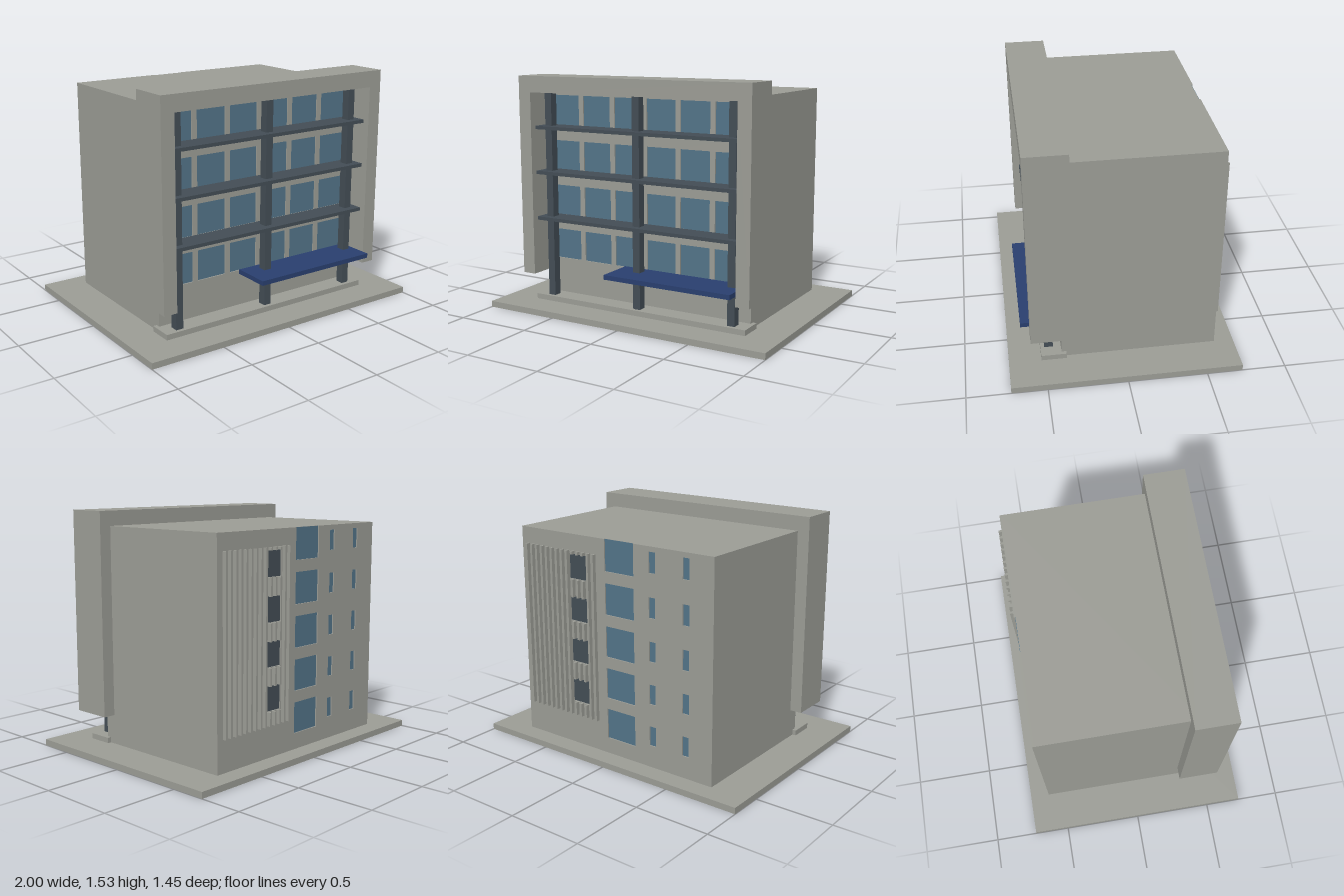
import * as THREE from 'three';

const material = (name, color) => {
  const m = new THREE.MeshStandardMaterial({ color });
  m.name = name;
  return m;
};

export function createModel() {
  const model = new THREE.Group();
  model.name = 'officeBuilding';
  const concrete = material('concrete grey', 0x9b9c95);
  const glass = material('window blue', 0x527388);
  const slate = material('dark slate', 0x434d55);
  const navy = material('canopy navy', 0x293f6f);

  const add = (name, geometry, mat) => {
    const mesh = new THREE.Mesh(geometry, mat);
    mesh.name = name;
    model.add(mesh);
    return mesh;
  };
  // Box given by its lower and upper limits on each axis
  const box = (name, mat, [x0, x1], [y0, y1], [z0, z1]) => {
    const mesh = add(name, new THREE.BoxGeometry(x1 - x0, y1 - y0, z1 - z0), mat);
    mesh.position.set((x0 + x1) / 2, (y0 + y1) / 2, (z0 + z1) / 2);
    return mesh;
  };
  const polygon = (points) => points.map(([x, y]) => new THREE.Vector2(x, y));
  // Flat outline with rectangular openings, extruded from z0 to z1
  const slab = (name, outline, openings, z0, z1) => {
    const shape = new THREE.Shape(polygon(outline));
    for (const [x0, x1, y0, y1] of openings) {
      shape.holes.push(new THREE.Path(polygon([[x0, y0], [x0, y1], [x1, y1], [x1, y0]])));
    }
    const geometry = new THREE.ExtrudeGeometry(shape, { depth: z1 - z0, bevelEnabled: false });
    geometry.translate(0, 0, z0);
    return add(name, geometry, concrete);
  };

  // Ground slab, entrance step and building core
  box('groundSlab', concrete, [-1, 1], [0, 0.04], [-0.725, 0.725]);
  box('entranceStep', concrete, [-0.775, 0.775], [0.04, 0.075], [0.36, 0.52]);
  box('buildingCore', concrete, [-0.75, 0.75], [0.04, 1.44], [-0.59, 0.38]);

  // Front wall: four rows of six recessed windows
  const frontWindows = [];
  for (let row = 0; row < 4; row++) {
    for (let col = 0; col < 6; col++) {
      const x = -0.603 + col * 0.2412, y = 0.31 + row * 0.299;
      frontWindows.push([x - 0.103, x + 0.103, y, y + 0.198]);
    }
  }
  slab('frontWall', [[-0.75, 0.04], [0.75, 0.04], [0.75, 1.44], [-0.75, 1.44]],
    frontWindows, 0.38, 0.39);
  for (const [x0, x1, y0, y1] of frontWindows) {
    box('frontWindow', glass, [x0, x1], [y0, y1], [0.379, 0.382]);
  }

  // Back wall: one wide and two narrow windows per floor, and stairwell panes
  const backWindows = [], stairPanes = [];
  for (let i = 0; i < 5; i++) {
    const drop = i * 0.274;
    backWindows.push([-0.17, 0.055, 1.24 - drop, 1.44 - drop]);
    for (const x of [-0.309, -0.557]) {
      backWindows.push([x - 0.024, x + 0.024, 1.28 - drop, 1.408 - drop]);
    }
    if (i < 4) stairPanes.push([0.192, 0.345, 1.155 - drop, 1.315 - drop]);
  }
  // The topmost wide window is a notch open at the roof edge
  slab('backWall', [[-0.75, 0.04], [0.75, 0.04], [0.75, 1.44], [0.055, 1.44],
    [0.055, 1.24], [-0.17, 1.24], [-0.17, 1.44], [-0.75, 1.44]],
  [...backWindows.slice(1), ...stairPanes], -0.6, -0.59);
  for (const [x0, x1, y0, y1] of backWindows) {
    box('backWindow', glass, [x0, x1], [y0, y1 - 0.001], [-0.592, -0.589]);
  }
  for (const [x0, x1, y0, y1] of stairPanes) {
    box('stairPane', slate, [x0, x1], [y0, y1], [-0.592, -0.589]);
  }

  // Vertical fins, interrupted where they would cross the stairwell panes
  for (let i = 0; i < 14; i++) {
    const x = 0.134 + i * 0.0432;
    const cut = x > 0.192 && x < 0.345;
    let top = 1.335;
    for (const [, , y0, y1] of cut ? stairPanes : []) {
      box('sunFin', concrete, [x - 0.0075, x + 0.0075], [y1, top], [-0.625, -0.6]);
      top = y0;
    }
    box('sunFin', concrete, [x - 0.0075, x + 0.0075], [0.245, top], [-0.625, -0.6]);
  }

  // Portal frame hung around the front
  slab('portalFrame', [[-0.83, 0.23], [-0.74, 0.23], [-0.74, 1.43], [0.74, 1.43],
    [0.74, 0.23], [0.83, 0.23], [0.83, 1.535], [-0.83, 1.535]], [], 0.32, 0.585);

  // Columns and floor ledges
  for (const x of [-0.668, 0, 0.668]) {
    box('column', slate, [x - 0.025, x + 0.025], [0.075, 1.43], [0.44, 0.495]);
  }
  for (const y of [0.6, 0.905, 1.2]) {
    box('floorLedge', slate, [-0.74, 0.74], [y - 0.011, y + 0.011], [0.39, 0.54]);
  }

  // Entrance canopy
  box('entranceCanopy', navy, [-0.15, 0.73], [0.285, 0.315], [0.39, 0.64]);

  return model;
}
